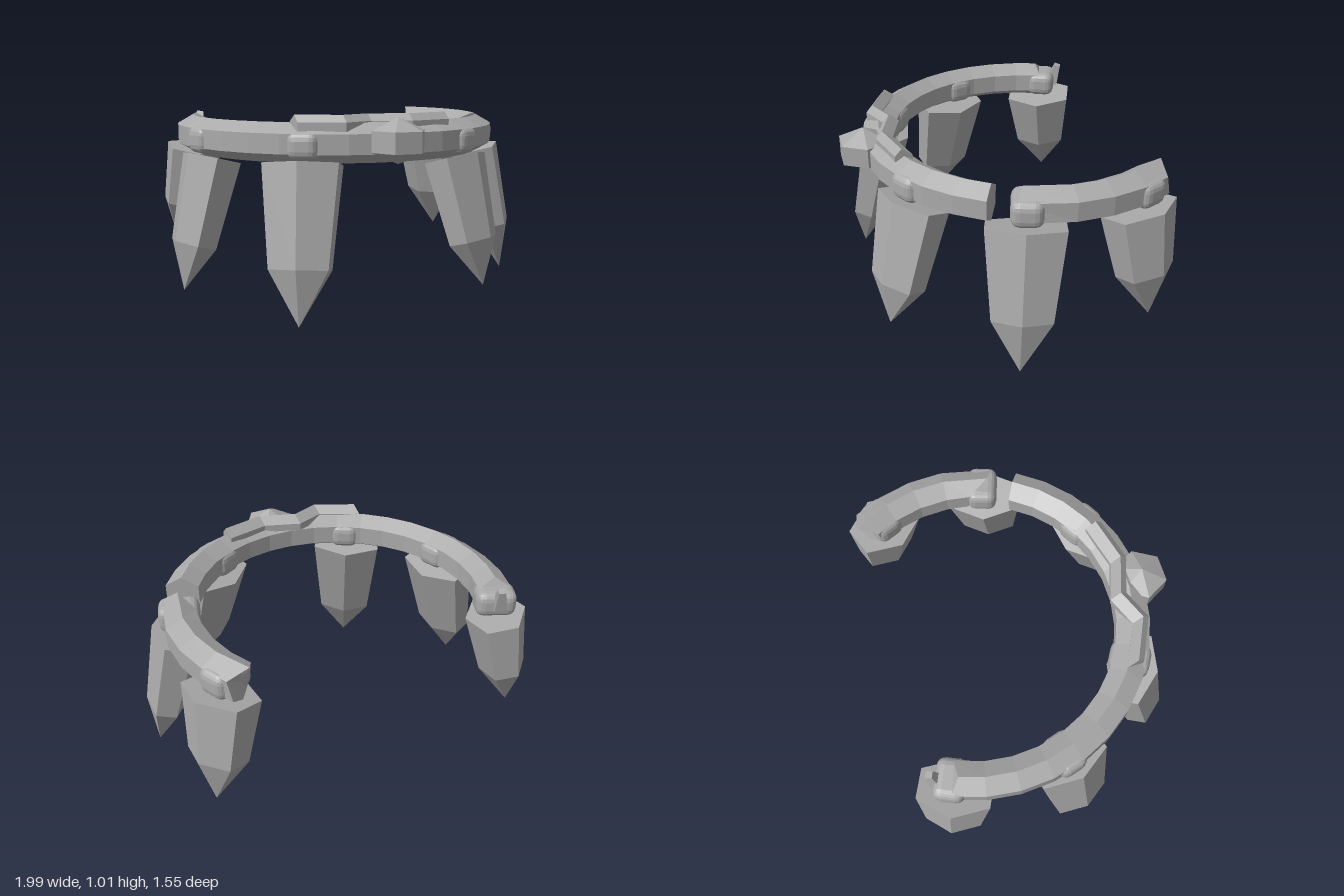
import * as THREE from 'three';
import { RoundedBoxGeometry } from 'three/addons/geometries/RoundedBoxGeometry.js';

const CENTER_Z = -0.25, RADIUS = 0.815, RING_Y = 0.87;
const rad = THREE.MathUtils.degToRad;

// Flat facets for any geometry
function faceted(geometry) {
  const g = geometry.index ? geometry.toNonIndexed() : geometry;
  g.computeVertexNormals();
  return g;
}

// Skin between equal-sized cross-sections, capped at both ends
function loft(sections) {
  const pos = [], n = sections[0].length, last = sections.length - 1;
  const tri = (...pts) => pts.forEach(p => pos.push(...p));
  for (let i = 0; i < last; i++) {
    for (let k = 0; k < n; k++) {
      const j = (k + 1) % n, a = sections[i], b = sections[i + 1];
      tri(a[k], a[j], b[j]);
      tri(a[k], b[j], b[k]);
    }
  }
  for (let k = 1; k < n - 1; k++) {
    tri(sections[0][0], sections[0][k + 1], sections[0][k]);
    tri(sections[last][0], sections[last][k], sections[last][k + 1]);
  }
  const g = new THREE.BufferGeometry();
  g.setAttribute('position', new THREE.Float32BufferAttribute(pos, 3));
  return faceted(g);
}

// Hexagonal collar arc; jag lists shift the corners of each broken end (degrees)
function collarArc(from, to, jagFrom, jagTo) {
  const steps = Math.round((to - from) / 11), sections = [];
  for (let i = 0; i <= steps; i++) {
    const section = [];
    for (let k = 0; k < 6; k++) {
      const jag = i === 0 ? jagFrom[k] : i === steps ? jagTo[k] : 0;
      const a = rad(from + (to - from) * i / steps + jag);
      const t = rad(30 + 60 * k), r = RADIUS + 0.1 * Math.cos(t);
      section.push([r * Math.cos(a), RING_Y + 0.1 * Math.sin(t), CENTER_Z + r * Math.sin(a)]);
    }
    sections.push(section);
  }
  return loft(sections);
}

// Pointed crystal hanging from top to tip, with a corner facing outward
function spikeGeometry(top, tip, shoulder, width, depth, angle) {
  const t = new THREE.Vector3(...top), p = new THREE.Vector3(...tip);
  const y = t.clone().sub(p), length = y.length();
  y.normalize();
  const x = new THREE.Vector3(Math.cos(angle), 0, Math.sin(angle));
  x.addScaledVector(y, -x.dot(y)).normalize();
  const z = x.clone().cross(y);
  const profile = [[0, 0], [0.78 * width, shoulder * length], [width, length], [0, length]];
  const g = new THREE.LatheGeometry(profile.map(v => new THREE.Vector2(...v)), 6);
  g.rotateY(Math.PI / 2);
  g.scale(depth, 1, 1);
  g.applyMatrix4(new THREE.Matrix4().makeBasis(x, y, z).setPosition(p));
  return faceted(g);
}

export function createModel() {
  const group = new THREE.Group();
  const stone = new THREE.MeshStandardMaterial({ color: 0xaaaaaa });
  stone.name = 'grey stone';
  const add = (name, geometry) => {
    const mesh = new THREE.Mesh(geometry, stone);
    mesh.name = name;
    group.add(mesh);
    return mesh;
  };

  // Broken collar in two pieces
  const clean = [0, 0, 0, 0, 0, 0];
  add('mainCollar', collarArc(30, 203, clean, [0, -2, 1, 2, 1, 0]));
  add('brokenCollar', collarArc(-32, 15, [2, -2.4, 2, 3, 1, 0], [6, 5, -2, -3, 0, 3]));

  // Spikes and clasps: collar angle, top, tip, shoulder fraction, width, depth ratio
  const spikes = [
    ['rightBack', 204, [-0.77, 0.765, -0.575], [-0.87, 0.2, -0.65], 0.42, 0.215, 0.74],
    ['rightSide', 163, [-0.785, 0.765, 0.01], [-0.96, 0.08, 0.07], 0.35, 0.22, 0.62],
    ['rightFront', 120, [-0.43, 0.77, 0.475], [-0.51, 0, 0.64], 0.35, 0.22, 0.62],
    ['leftFront', 60, [0.41, 0.765, 0.475], [0.5, 0.11, 0.64], 0.35, 0.22, 0.62],
    ['leftSide', 18, [0.785, 0.765, 0.01], [0.95, 0.03, 0.075], 0.38, 0.225, 0.62],
    ['leftBack', -24, [0.77, 0.77, -0.57], [0.86, 0.18, -0.64], 0.43, 0.215, 0.74],
  ];
  for (const [name, degrees, top, tip, shoulder, width, depth] of spikes) {
    const a = rad(degrees);
    add(name + 'Spike', spikeGeometry(top, tip, shoulder, width, depth, a));
    const clasp = add(name + 'Clasp', faceted(new RoundedBoxGeometry(0.21, 0.14, 0.16, 2, 0.045)));
    clasp.position.set(RADIUS * Math.cos(a), 0.86, CENTER_Z + RADIUS * Math.sin(a));
    clasp.rotation.y = -a;
  }

  // Front gem: hexagonal bead with pyramid ends
  const gemProfile = [[0, 0.77], [0.14, 0.83], [0.14, 0.935], [0, 1]];
  const gem = new THREE.LatheGeometry(gemProfile.map(v => new THREE.Vector2(...v)), 6);
  gem.rotateY(Math.PI / 2);
  gem.translate(0, 0, 0.65);
  add('frontGem', faceted(gem));

  // Zigzag ridge lying on top of the collar
  const path = [[-0.47, 0.455], [-0.255, 0.555], [-0.1, 0.49], [0.095, 0.555], [0.325, 0.495]];
  const section = [[0.93, -0.045], [0.97, -0.045], [1.01, 0.01], [0.975, 0.045], [0.93, 0.045]];
  add('zigzagRidge', loft(path.map(([x, z]) => section.map(([y, dz]) => [x + dz * 0.15, y, z + dz]))));

  // Blunt splinter at the broken right end
  const shard = add('endSplinter', faceted(new THREE.CylinderGeometry(0.025, 0.05, 0.12, 4)));
  shard.position.set(-0.72, 0.91, -0.66);
  shard.rotation.set(-0.15, 0.4, -0.2);

  return group;
}
